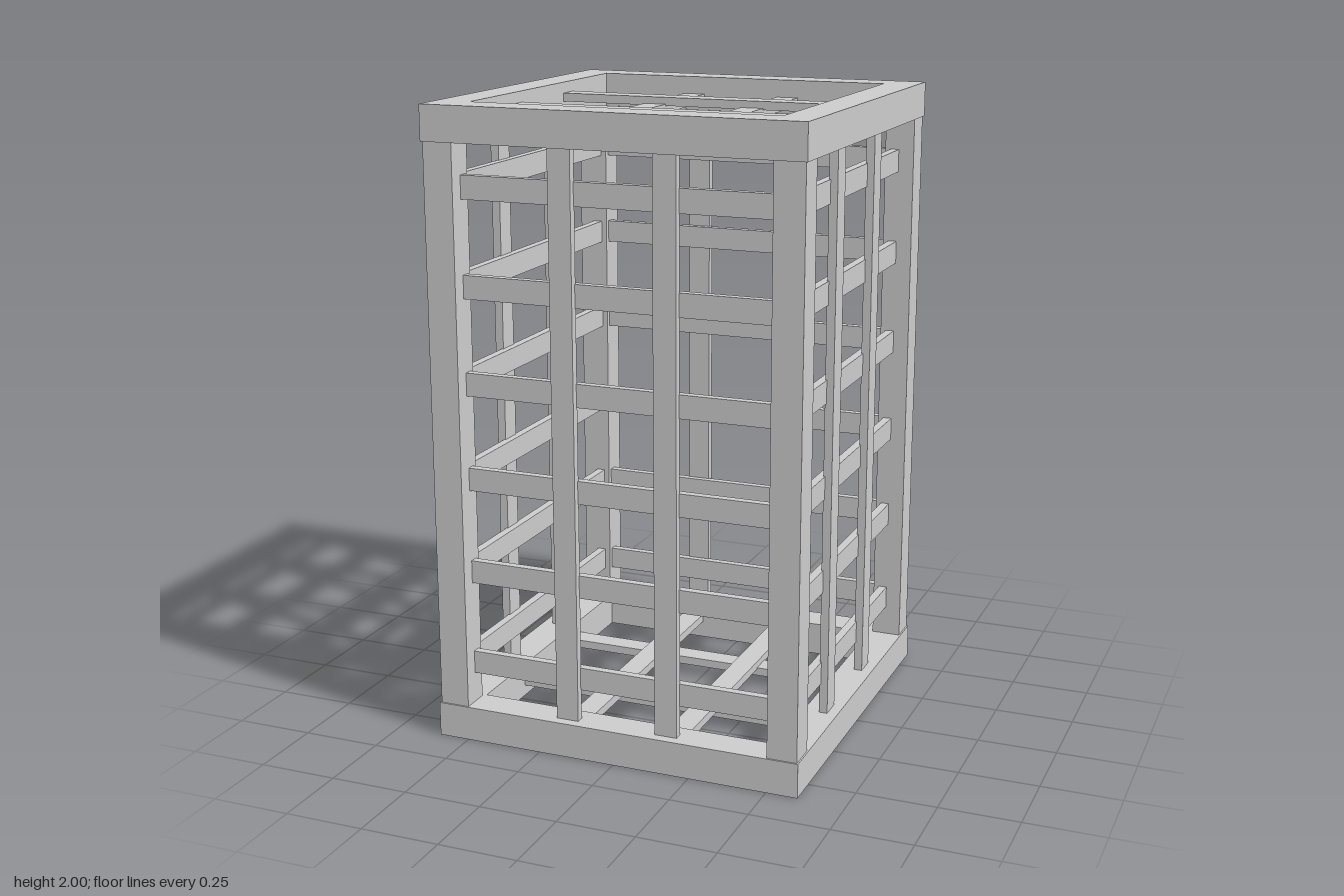
import * as THREE from 'three';

const material = new THREE.MeshStandardMaterial({ color: 0xcccccc, flatShading: true });

// Box given by its minimum and maximum along each axis
function bar(parent, name, [x0, x1], [y0, y1], [z0, z1]) {
  const mesh = new THREE.Mesh(new THREE.BoxGeometry(x1 - x0, y1 - y0, z1 - z0), material);
  mesh.position.set((x0 + x1) / 2, (y0 + y1) / 2, (z0 + z1) / 2);
  mesh.name = name;
  parent.add(mesh);
}

const around = (c, w) => [c - w / 2, c + w / 2];
// Range between two distances from the centre, on the side given by s
const side = (s, a, b) => (s > 0 ? [a, b] : [-b, -a]);

const OUT = 0.6, IN = 0.49, RIM = 0.11, TOP = 2;
const POST_OUT = 0.595, POST_IN = 0.5;
const SLAT = 0.073;
const slatX = [-0.167, 0.163];
const slatZ = [-0.187, 0.183];
const rows = Array.from({ length: 6 }, (_, i) => 0.243 + i * 0.302);

export function createModel() {
  const model = new THREE.Group();
  model.name = 'latticeCage';

  // Square rims at the bottom and top
  for (const [name, y] of [['bottomRim', [0, RIM]], ['topRim', [TOP - RIM, TOP]]]) {
    const rim = new THREE.Group();
    rim.name = name;
    for (const s of [-1, 1]) {
      bar(rim, 'rimLong', [-OUT, OUT], y, side(s, IN, OUT));
      bar(rim, 'rimShort', side(s, IN, OUT), y, [-IN, IN]);
    }
    model.add(rim);
  }

  // Corner posts
  const upright = [RIM, TOP - RIM];
  for (const sx of [-1, 1])
    for (const sz of [-1, 1])
      bar(model, 'cornerPost', side(sx, POST_IN, POST_OUT), upright, side(sz, POST_IN, POST_OUT));

  // Wall lattices: uprights outside, cross slats just behind them
  const span = [-POST_IN, POST_IN];
  for (const s of [-1, 1]) {
    const outer = side(s, 0.54, 0.567);
    const inner = side(s, 0.518, 0.545);

    const faceZ = new THREE.Group();
    faceZ.name = s > 0 ? 'frontLattice' : 'backLattice';
    for (const x of slatX) bar(faceZ, 'uprightSlat', around(x, SLAT), upright, outer);
    for (const y of rows) bar(faceZ, 'crossSlat', span, around(y, SLAT), inner);

    const faceX = new THREE.Group();
    faceX.name = s > 0 ? 'leftLattice' : 'rightLattice';
    for (const z of slatZ) bar(faceX, 'uprightSlat', outer, upright, around(z, SLAT));
    for (const y of rows) bar(faceX, 'crossSlat', inner, around(y, SLAT), span);

    model.add(faceZ, faceX);
  }

  // Roof and floor lattices, mirrored about mid height
  for (const roof of [true, false]) {
    const grid = new THREE.Group();
    grid.name = roof ? 'roofLattice' : 'floorLattice';
    const level = (a, b) => (roof ? [TOP - b, TOP - a] : [a, b]);
    for (const z of slatZ) bar(grid, 'wideSlat', [-IN, IN], level(0.035, 0.062), around(z, SLAT));
    for (const x of slatX) bar(grid, 'deepSlat', around(x, SLAT), level(0.057, 0.084), [-IN, IN]);
    model.add(grid);
  }

  return model;
}
